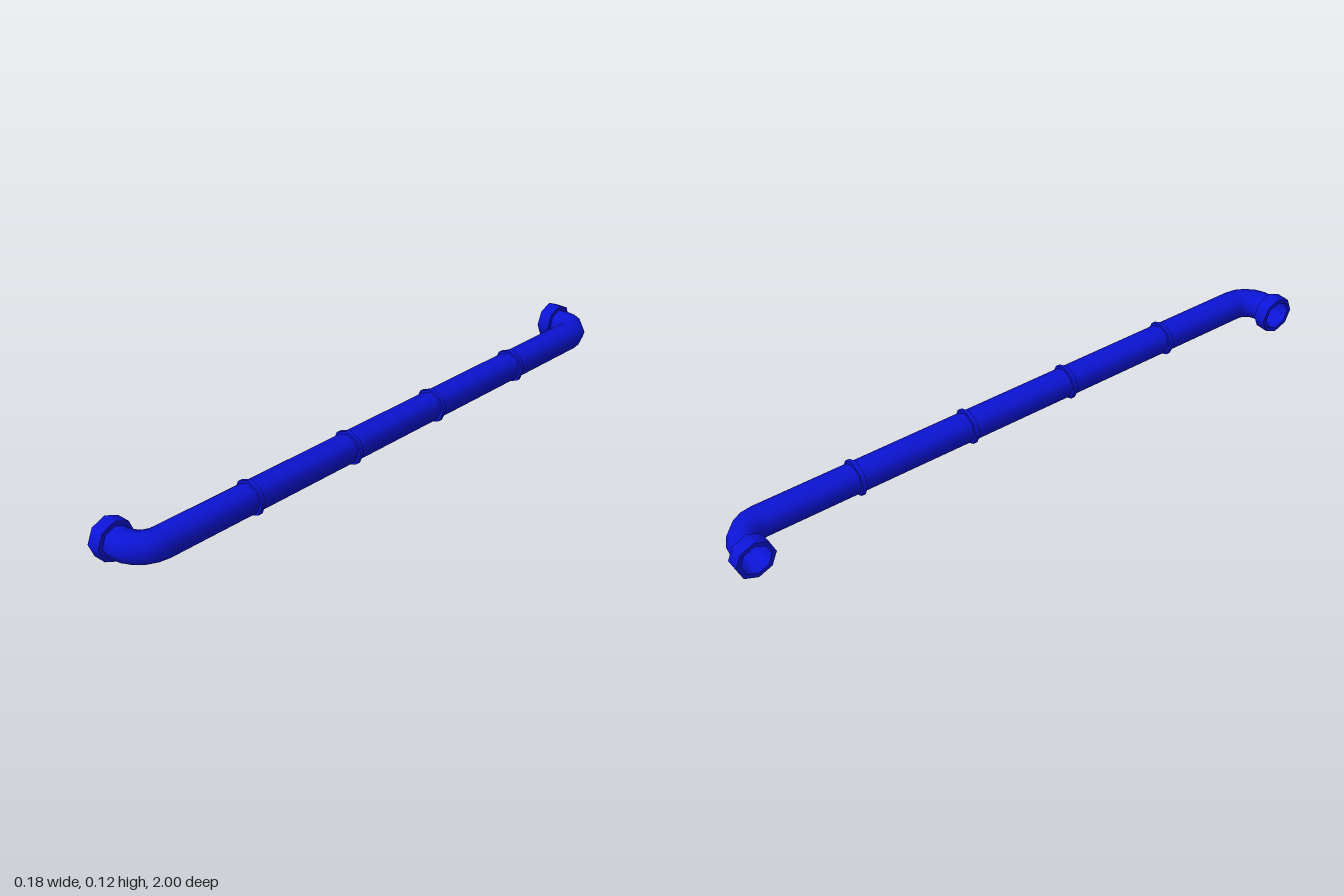
import * as THREE from 'three';

const SIDES = 8;
const Y = 0.06, PIPE_X = 0.037, ARM_Z = 0.94;
const PIPE_R = 0.046, BEND_R = 0.075;

// Octagonal tube swept along a flat path of {x, z, angle}, angle being the heading (0 = +x, PI/2 = -z)
function sweep(stations, r) {
  const pos = [], nor = [], idx = [];
  for (const { x, z, angle } of stations) {
    for (let j = 0; j <= SIDES; j++) {
      const t = (j / SIDES) * Math.PI * 2;
      const nx = Math.sin(angle) * Math.cos(t), ny = Math.sin(t), nz = Math.cos(angle) * Math.cos(t);
      pos.push(x + r * nx, Y + r * ny, z + r * nz);
      nor.push(nx, ny, nz);
    }
  }
  const row = SIDES + 1;
  for (let i = 0; i < stations.length - 1; i++) {
    for (let j = 0; j < SIDES; j++) {
      const a = i * row + j, b = a + row;
      idx.push(a, b, a + 1, b, b + 1, a + 1);
    }
  }
  const g = new THREE.BufferGeometry();
  g.setAttribute('position', new THREE.Float32BufferAttribute(pos, 3));
  g.setAttribute('normal', new THREE.Float32BufferAttribute(nor, 3));
  g.setIndex(idx);
  return g;
}

// Octagonal ring with a hole, centred on the y axis; each side of its profile keeps sharp rims
function ring(inner, outer, depth) {
  const h = depth / 2;
  const pts = [[inner, -h], [outer, -h], [outer, -h], [outer, h], [outer, h], [inner, h], [inner, h], [inner, -h]];
  const g = new THREE.LatheGeometry(pts.map(([x, y]) => new THREE.Vector2(x, y)), SIDES);
  const p = g.attributes.position, n = g.attributes.normal;
  for (let i = 0; i < p.count; i++) {
    const side = Math.floor((i % 8) / 2), len = Math.hypot(p.getX(i), p.getZ(i));
    const s = side === 1 ? 1 / len : -1 / len;
    if (side % 2 === 0) n.setXYZ(i, 0, side === 0 ? -1 : 1, 0);
    else n.setXYZ(i, p.getX(i) * s, 0, p.getZ(i) * s);
  }
  return g;
}

export function createModel() {
  const group = new THREE.Group();
  const blue = new THREE.MeshStandardMaterial({ color: 0x0c14d8, side: THREE.DoubleSide });
  const add = (name, geometry) => {
    const mesh = new THREE.Mesh(geometry, blue);
    mesh.name = name;
    group.add(mesh);
    return mesh;
  };

  // Main pipe with a rounded elbow at each end
  const stations = [{ x: -0.088, z: ARM_Z, angle: 0 }];
  const cx = PIPE_X - BEND_R, cz = ARM_Z - BEND_R, STEPS = 5;
  for (const end of [1, -1]) {
    for (let i = 0; i <= STEPS; i++) {
      const a = (i / STEPS) * Math.PI / 2 + (end < 0 ? Math.PI / 2 : 0);
      stations.push({ x: cx + BEND_R * Math.sin(a), z: end * cz + BEND_R * Math.cos(a), angle: a });
    }
  }
  stations.push({ x: -0.088, z: -ARM_Z, angle: Math.PI });
  add('pipe', sweep(stations, PIPE_R));

  // Joint collars along the straight run
  const collar = ring(0.044, 0.054, 0.014);
  for (const z of [-0.56, -0.18, 0.18, 0.56]) {
    const mesh = add('collar', collar);
    mesh.rotation.x = Math.PI / 2;
    mesh.position.set(PIPE_X, Y, z);
  }

  // Open flanges on both ends
  const flange = ring(0.046, 0.06, 0.042);
  for (const side of [1, -1]) {
    const mesh = add(side > 0 ? 'frontFlange' : 'backFlange', flange);
    mesh.rotation.z = Math.PI / 2;
    mesh.position.set(-0.071, Y, side * ARM_Z);
  }
  return group;
}
